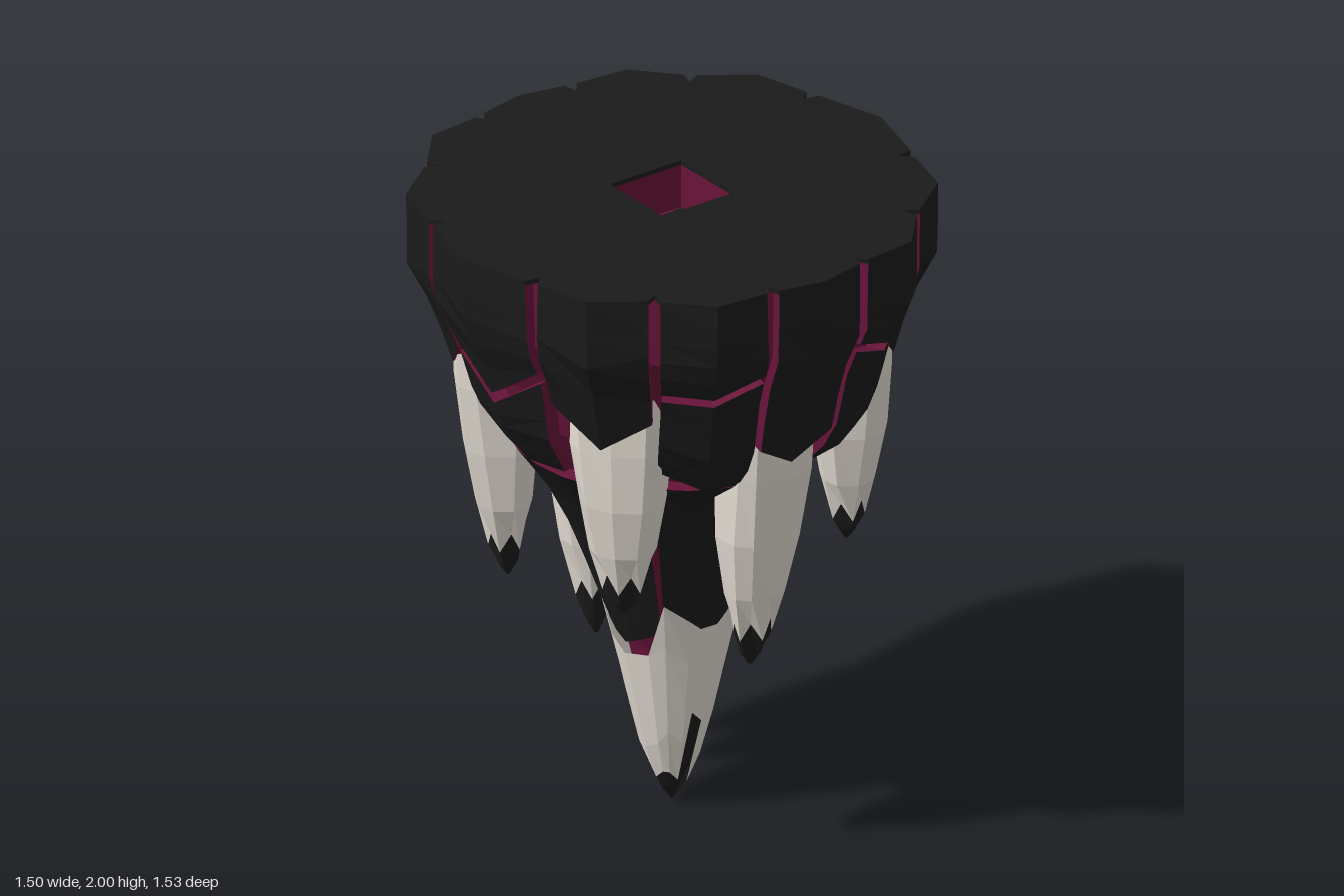
import * as THREE from 'three';

const mat = (name, color) => {
  const m = new THREE.MeshStandardMaterial({ color, side: THREE.DoubleSide });
  m.name = name;
  return m;
};
const RAD = Math.PI / 180;
const V = (x, y, z) => new THREE.Vector3(x, y, z);
const lerp = THREE.MathUtils.lerp;

// small repeatable noise in -1..1
const noise = (a, b) => {
  const s = Math.sin(a * 12.9898 + b * 78.233) * 43758.5453;
  return (s - Math.floor(s)) * 2 - 1;
};

// body silhouette: height, half width in x, half depth in z
const PROFILE = [
  [2, 0.735, 0.74], [1.77, 0.735, 0.74], [1.62, 0.665, 0.665], [1.42, 0.62, 0.61],
  [1.3, 0.55, 0.53], [1.1, 0.3, 0.4], [0.9, 0.23, 0.3], [0.7, 0.185, 0.22],
  [0.55, 0.16, 0.165], [0.35, 0.12, 0.12], [0.2, 0.085, 0.085], [0.06, 0.035, 0.035], [0, 0.002, 0.002],
];

// point on the body; angle in degrees, 0 = front, 90 = +x
function onBody(deg, y, offset = 0) {
  let i = 0;
  while (i < PROFILE.length - 2 && PROFILE[i + 1][0] > y) i++;
  const [p, q] = [PROFILE[i], PROFILE[i + 1]];
  const t = (p[0] - y) / (p[0] - q[0]);
  const s = Math.sin(deg * RAD), c = Math.cos(deg * RAD);
  const r = 1 / Math.hypot(s / lerp(p[1], q[1], t), c / lerp(p[2], q[2], t)) + offset;
  return V(s * r, y, c * r);
}

// faceted surface through rows of points (rows run downwards)
function skin(name, rows, material) {
  const pos = [];
  const tri = (...pts) => pts.forEach((p) => pos.push(p.x, p.y, p.z));
  for (let j = 0; j < rows.length - 1; j++) {
    for (let i = 0; i < rows[j].length - 1; i++) {
      const a = rows[j][i], b = rows[j][i + 1], c = rows[j + 1][i], d = rows[j + 1][i + 1];
      tri(a, c, d);
      tri(a, d, b);
    }
  }
  const g = new THREE.BufferGeometry();
  g.setAttribute('position', new THREE.Float32BufferAttribute(pos, 3));
  g.computeVertexNormals();
  const mesh = new THREE.Mesh(g, material);
  mesh.name = name;
  return mesh;
}

const at3 = ([l, m, r], u) => (u < 0.5 ? lerp(l, m, u * 2) : lerp(m, r, u * 2 - 1));

// rock slab with crimson broken edges
// angles [topL, topR, botL, botR], heights [left, middle, right], bulge of the middle
function slab({ a, top, bot, out = 0 }, rock, vein) {
  const nu = a[3] - a[2] > 60 ? 6 : 2, nv = 5, rows = [];
  for (let j = 0; j <= nv; j++) {
    const row = [], v = j / nv;
    for (let i = 0; i <= nu; i++) {
      const u = i / nu;
      const deg = lerp(lerp(a[0], a[2], v), lerp(a[1], a[3], v), u);
      const y = lerp(at3(top, u), at3(bot, u), v);
      const bump = v > 0 && u > 0 && u < 1 ? 0.005 * noise(i + a[0], j + a[1]) : 0;
      row.push(onBody(deg, y, bump + out * lerp(1, 0.6, v) * (1 - Math.abs(2 * u - 1))));
    }
    rows.push(row);
  }
  // border loop: down the left, along the bottom, up the right, back along the top
  const loop = [...rows.map((r) => r[0]), ...rows[nv].slice(1),
    ...rows.slice(0, -1).reverse().map((r) => r[nu]), ...rows[0].slice(0, -1).reverse()];
  const inner = loop.map((p) => {
    const r = Math.hypot(p.x, p.z), k = (r - 0.06) / r;
    return V(p.x * k, p.y, p.z * k);
  });
  const g = new THREE.Group();
  g.name = 'rockSlab';
  g.add(skin('slabFace', rows, rock), skin('slabEdge', [inner, loop], vein));
  return g;
}

// mirrored copy of a slab
const flip = (s, pivot) => ({
  ...s,
  a: [pivot - s.a[1], pivot - s.a[0], pivot - s.a[3], pivot - s.a[2]],
  top: [...s.top].reverse(), bot: [...s.bot].reverse(),
});

// hanging spike: bone body with a jagged dark tip
function spike(phi, topY, tipY, topC, tipC, wide, deep, bone, rock) {
  const n = 10;
  const s = Math.sin(phi * RAD), c = Math.cos(phi * RAD);
  const widths = [[0, 1], [0.25, 1.02], [0.5, 0.92], [0.72, 0.7], [0.86, 0.43], [0.95, 0.26], [1, 0.06]];
  const rows = widths.map(([f, w], j) => {
    const row = [];
    // boxy where it meets the rock, rounder towards the tip
    const soft = (v) => Math.sign(v) * Math.pow(Math.abs(v), lerp(0.5, 1, f));
    for (let i = 0; i <= n; i++) {
      const t = ((i % n) / n) * Math.PI * 2;
      const k = w * (1 + (j > 0 && j < 6 ? 0.04 * noise(i % n, phi + j) : 0));
      const r = lerp(topC, tipC, f) + deep * k * soft(Math.cos(t));
      const q = wide * k * soft(Math.sin(t));
      const jag = j === 4 ? 0.03 * (i % 2 ? 1 : -1) : 0;
      row.push(V(s * r + c * q, lerp(topY, tipY, f) + jag, c * r - s * q));
    }
    return row;
  });
  const g = new THREE.Group();
  g.name = 'hangingSpike';
  g.add(skin('spikeBody', rows.slice(0, 5), bone), skin('spikeTip', rows.slice(4), rock));
  return g;
}

export function createModel() {
  const rock = mat('darkRock', 0x1b1b1b);
  const bone = mat('paleBone', 0xe6dfd5);
  const vein = mat('crimsonVein', 0x681439);
  const model = new THREE.Group();
  model.name = 'hangingRock';

  // crimson core seen through the cracks
  const core = [1.985, 1.77, 1.62, 1.54, 1.42, 1.3, 1.1, 0.9, 0.7, 0.55, 0.35].map((y) => {
    const row = [];
    for (let i = 0; i <= 36; i++) row.push(onBody(i * 10, y, y < 1 ? -0.03 : y < 1.6 ? -0.055 : -0.04));
    return row;
  });
  model.add(skin('veinCore', core, vein));

  // front column of slabs, repeated at the back
  const T = 1.99, slabs = [];
  const front = [
    { a: [-17.5, 17.5, -18.5, 18.5], top: [T, T, T], bot: [1.61, 1.53, 1.68], out: 0.025 },
    { a: [-18.5, 18.5, -16, 16], top: [1.575, 1.495, 1.64], bot: [1.28, 1.27, 1.28], out: 0.02 },
    { a: [-38, 38, -43, 43], top: [1.24, 1.245, 1.24], bot: [0.63, 0.565, 0.63] },
  ];
  front.forEach((s) => slabs.push(s, flip(s, 180)));
  // side columns
  const side = [
    { a: [78.5, 101.5, 78, 102], top: [T, T, T], bot: [1.42, 1.34, 1.42], out: 0.015 },
    { a: [44, 136, 46, 134], top: [1.27, 1.24, 1.27], bot: [0.7, 0.6, 0.7] },
  ];
  side.forEach((s) => slabs.push(s, flip(s, 0)));
  // corner slabs, mirrored into four quarters
  const corner = [
    { a: [21, 47.5, 20.5, 48], top: [T, T, T], bot: [1.57, 1.45, 1.55], out: 0.04 },
    { a: [50.5, 75.5, 50.5, 76], top: [T, T, T], bot: [1.67, 1.655, 1.715], out: 0.045 },
    { a: [50.5, 76, 49, 76], top: [1.64, 1.625, 1.685], bot: [1.36, 1.28, 1.255], out: 0.025 },
  ];
  corner.forEach((s) => slabs.push(s, flip(s, 0), flip(s, 180), flip(flip(s, 180), 0)));
  slabs.forEach((s) => model.add(slab(s, rock, vein)));

  // flat top with crack notches and a square socket
  const outline = [];
  slabs.filter((s) => s.top[1] === T)
    .map(({ a, out }) => [(a[0] + 360) % 360, a[1] - a[0], out])
    .sort((p, q) => p[0] - q[0])
    .forEach(([a, w, out]) => outline.push(
      onBody(a - 1.5, 2, -0.045), onBody(a, 2), onBody(a + w / 2, 2, out), onBody(a + w, 2)));
  const lid = new THREE.Shape(outline.map((p) => new THREE.Vector2(p.x, -p.z)));
  const h = 0.13;
  lid.holes.push(new THREE.Path([[-h, -h], [-h, h], [h, h], [h, -h]].map((p) => new THREE.Vector2(...p))));
  const lidMesh = new THREE.Mesh(new THREE.ExtrudeGeometry(lid, { depth: 0.015, bevelEnabled: false }), rock);
  lidMesh.name = 'flatTop';
  lidMesh.rotation.x = -Math.PI / 2;
  lidMesh.position.y = 1.985;
  model.add(lidMesh);

  // socket walls: a box whose upper face is folded away
  const socket = new THREE.Mesh(new THREE.BoxGeometry(2 * h, 0.14, 2 * h).toNonIndexed(), vein);
  socket.name = 'socketWalls';
  const p = socket.geometry.attributes.position;
  for (let i = 12; i < 18; i++) p.setXYZ(i, 0, -0.07, 0);
  socket.position.y = 1.917;
  model.add(socket);

  // dark socket floor with hollow edges
  const star = new THREE.Shape();
  star.moveTo(-0.115, -0.12);
  star.quadraticCurveTo(0, -0.07, 0.125, -0.12);
  star.quadraticCurveTo(0.11, 0, 0.125, 0.125);
  star.quadraticCurveTo(0, 0.08, -0.115, 0.125);
  star.quadraticCurveTo(-0.1, 0, -0.115, -0.12);
  const floor = new THREE.Mesh(new THREE.ShapeGeometry(star), rock);
  floor.name = 'socketFloor';
  floor.rotation.x = -Math.PI / 2;
  floor.position.y = 1.855;
  model.add(floor);

  // ring of six hanging spikes
  [37, 143].forEach((a) => {
    model.add(spike(a, 1.62, 0.86, 0.525, 0.51, 0.14, 0.12, bone, rock));
    model.add(spike(-a, 1.62, 0.74, 0.525, 0.48, 0.14, 0.12, bone, rock));
  });
  model.add(spike(90, 1.5, 0.6, 0.46, 0.38, 0.135, 0.115, bone, rock));
  model.add(spike(270, 1.5, 0.4, 0.46, 0.37, 0.135, 0.115, bone, rock));

  // great central spike: angle, top of the bone, bottom of the bone
  const edge = [
    [-30, 0.55, 0.2], [0, 0.53, 0.09], [30, 0.55, 0.12], [47, 0.74, 0.12], [70, 0.67, 0.09],
    [80, 0.64, 0.34], [98, 0.64, 0.3], [108, 0.67, 0.07], [133, 0.74, 0.16], [150, 0.55, 0.1], [180, 0.53, 0.1],
    [210, 0.55, 0.12], [227, 0.74, 0.2], [270, 0.8, 0.1], [313, 0.95, 0.22], [330, 0.55, 0.2],
  ];
  const sheath = [0, 0.25, 0.5, 0.75, 1].map((f) =>
    edge.map(([deg, top, tip]) => onBody(deg, lerp(top, tip, f), 0.012)));
  const point = [sheath[4], edge.map(([deg, , tip]) => onBody(deg, tip * 0.5, 0.008)), edge.map(() => V(0, 0, 0))];
  model.add(skin('centralSheath', sheath, bone), skin('centralPoint', point, rock));

  return model;
}
